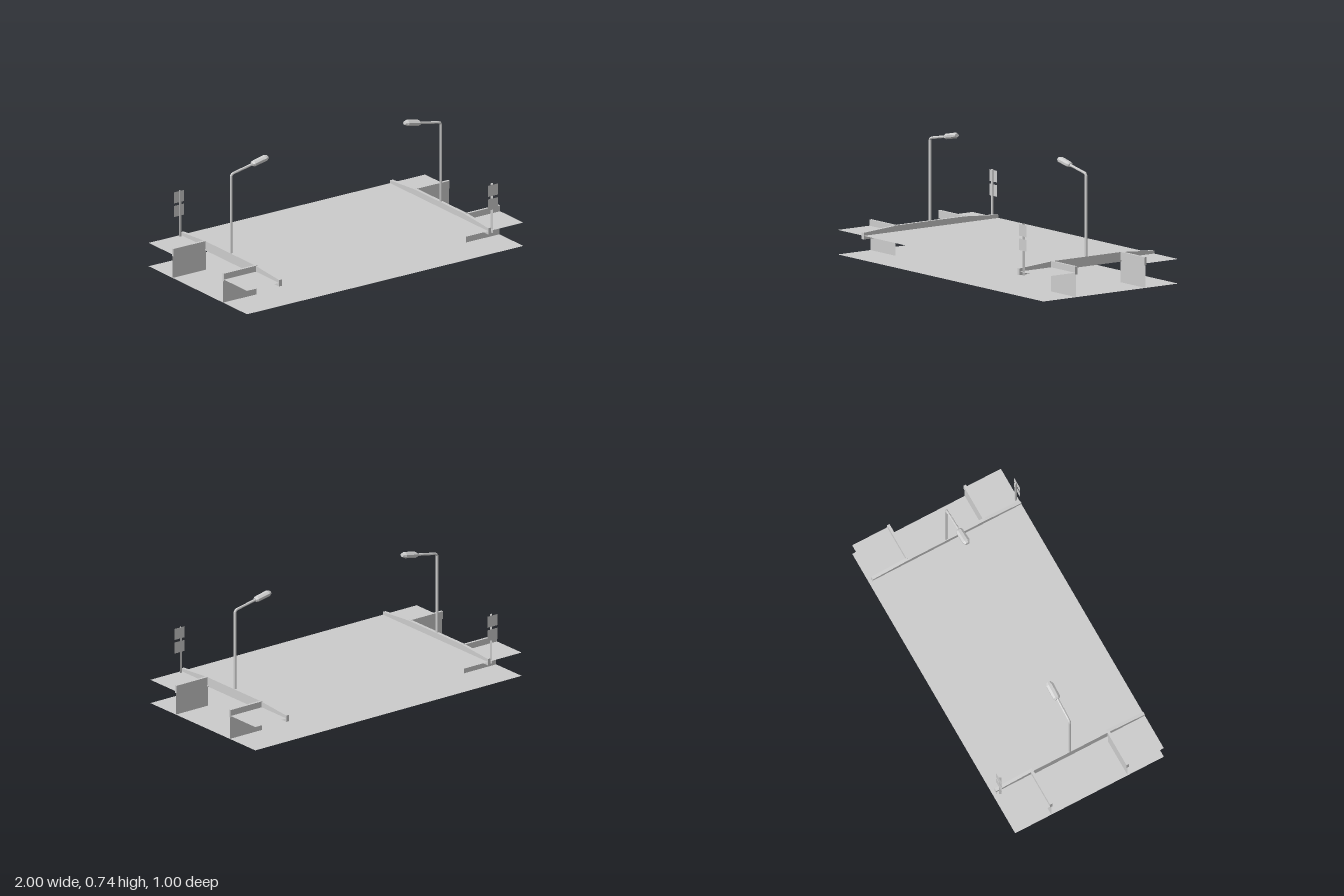
import * as THREE from 'three';

const grey = new THREE.MeshStandardMaterial({ color: 0xcccccc, flatShading: true });
const greyThin = new THREE.MeshStandardMaterial({ color: 0xcccccc, flatShading: true, side: THREE.DoubleSide });

const DECK = 0.147;   // height of road and banks
const TOP = 0.183;    // height of kerbs and copings

function add(parent, name, geometry, material = grey, x = 0, y = 0, z = 0) {
  const mesh = new THREE.Mesh(geometry, material);
  mesh.name = name;
  mesh.position.set(x, y, z);
  parent.add(mesh);
  return mesh;
}

function box(parent, name, x0, x1, y0, y1, z0, z1) {
  return add(parent, name, new THREE.BoxGeometry(x1 - x0, y1 - y0, z1 - z0), grey,
    (x0 + x1) / 2, (y0 + y1) / 2, (z0 + z1) / 2);
}

// Street lamp leaning from the kerb over the road
function createLamp() {
  const lamp = new THREE.Group();
  lamp.name = 'streetLamp';
  const v = (x, y) => new THREE.Vector3(x, y, 0);
  const path = new THREE.CurvePath();
  path.add(new THREE.LineCurve3(v(0.759, 0.15), v(0.759, 0.662)));
  path.add(new THREE.QuadraticBezierCurve3(v(0.759, 0.662), v(0.759, 0.678), v(0.74, 0.682)));
  path.add(new THREE.LineCurve3(v(0.74, 0.682), v(0.595, 0.71)));
  add(lamp, 'lampPole', new THREE.TubeGeometry(path, 64, 0.008, 8, false), greyThin);

  // Faceted head: flattened lathe laid along the arm
  const profile = [[0, 0], [0.012, 0], [0.018, 0.012], [0.019, 0.095], [0.011, 0.113], [0, 0.113]]
    .map(([r, h]) => new THREE.Vector2(r, h));
  const head = new THREE.LatheGeometry(profile, 8, Math.PI / 8);
  head.scale(0.98, 1, 1.32);
  const mesh = add(lamp, 'lampHead', head, greyThin, 0.607, 0.708, 0);
  mesh.rotation.z = Math.PI / 2 - 0.2;
  return lamp;
}

// Post with two thin square plates
function createSign() {
  const sign = new THREE.Group();
  sign.name = 'signPost';
  add(sign, 'post', new THREE.CylinderGeometry(0.008, 0.008, 0.31, 3), grey, 0.786, 0.28, 0.483);
  for (const y of [0.394, 0.308]) {
    add(sign, 'signPlate', new THREE.PlaneGeometry(0.074, 0.07), greyThin, 0.787, y, 0.492);
  }
  return sign;
}

// Kerb along the bridge edge, sloping down towards both ends
function createKerb() {
  const s = new THREE.Shape([
    [-0.5, 0.125], [0.5, 0.125], [0.5, 0.165], [0.25, TOP], [-0.25, TOP], [-0.5, 0.165],
  ].map(([z, y]) => new THREE.Vector2(z, y)));
  const g = new THREE.ExtrudeGeometry(s, { depth: 0.02, bevelEnabled: false });
  g.rotateY(Math.PI / 2);
  g.translate(0.747, 0, 0);
  return g;
}

// One end of the bridge
function createSide() {
  const side = new THREE.Group();
  add(side, 'kerb', createKerb());
  for (const s of [-1, 1]) {
    add(side, 'riverWall', new THREE.PlaneGeometry(0.243, 0.14), greyThin, 0.8785, 0.07, s * 0.257);
    box(side, 'wallCoping', 0.757, 1, 0.136, TOP + 0.001, s * 0.257 - 0.008, s * 0.257 + 0.008);
  }
  side.add(createLamp(), createSign());
  return side;
}

export function createModel() {
  const model = new THREE.Group();
  model.name = 'riverBridge';

  // Water level
  const water = new THREE.PlaneGeometry(2, 1);
  water.rotateX(-Math.PI / 2);
  add(model, 'water', water, greyThin);

  // Road and the four banks as one H-shaped sheet
  const h = [[1, 0.5], [1, 0.257], [0.757, 0.257], [0.757, -0.257], [1, -0.257], [1, -0.5]];
  const outline = [...h, ...h.map(([x, z]) => [-x, -z])];
  const deck = new THREE.ShapeGeometry(new THREE.Shape(outline.map(([x, z]) => new THREE.Vector2(x, z))));
  deck.rotateX(-Math.PI / 2);
  add(model, 'roadAndBanks', deck, greyThin, 0, DECK, 0);

  // Both sides, the second turned half way round
  for (const [name, turn] of [['leftSide', 0], ['rightSide', Math.PI]]) {
    const side = createSide();
    side.name = name;
    side.rotation.y = turn;
    model.add(side);
  }
  return model;
}
